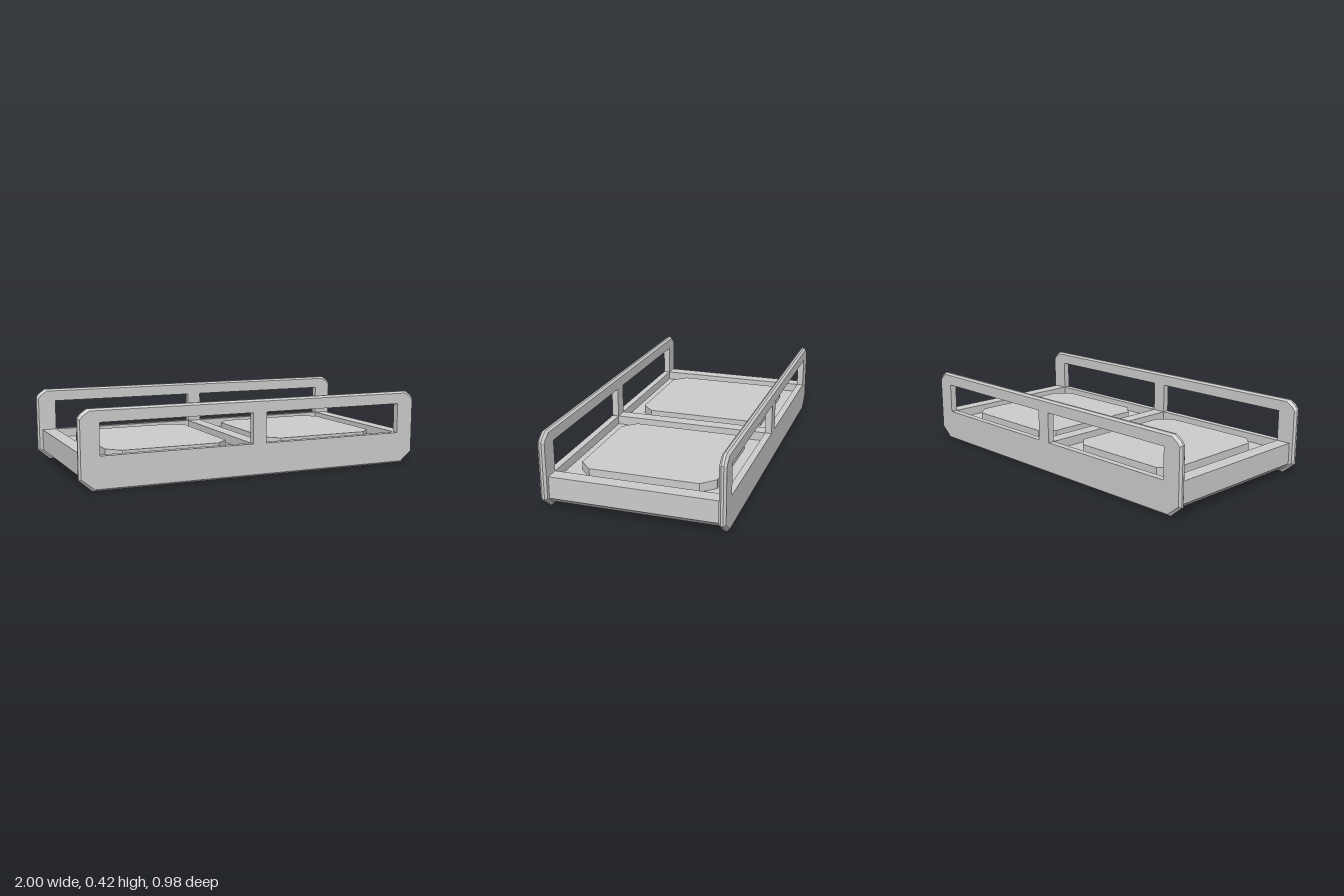
import * as THREE from 'three';

const material = new THREE.MeshStandardMaterial({ color: 0xcccccc, flatShading: true });
const toShape = (points) => new THREE.Shape(points.map(([x, y]) => new THREE.Vector2(x, y)));

function addMesh(group, name, geometry) {
  const mesh = new THREE.Mesh(geometry, material);
  mesh.name = name;
  group.add(mesh);
  return mesh;
}

// Side panel with two windows; only its outer rim is bevelled
function panelGeometry() {
  const half = [[0.93, 0], [1, 0.06], [1, 0.375], [0.985, 0.395], [0.95, 0.42]];
  const mirrored = half.map(([x, y]) => [-x, y]).reverse();
  const shape = toShape([...half, ...mirrored]);
  for (const s of [-1, 1]) {
    const window = [[0.04, 0.18], [0.04, 0.35], [0.89, 0.35], [0.89, 0.18]];
    shape.holes.push(new THREE.Path(window.map(([x, y]) => new THREE.Vector2(s * x, y))));
  }
  const depth = 0.038;
  const geometry = new THREE.ExtrudeGeometry(shape, { depth, steps: 3, bevelEnabled: false });
  geometry.translate(0, 0, -depth / 2);
  const p = geometry.attributes.position;
  for (let i = 0; i < p.count; i++) {
    const x = p.getX(i), y = p.getY(i);
    const outer = Math.abs(x) > 0.9 || y < 0.1 || y > 0.38;
    if (outer && Math.abs(p.getZ(i)) > depth * 0.4) {
      p.setXY(i, x * 0.99, 0.21 + (y - 0.21) * 0.95);
    }
  }
  geometry.computeVertexNormals();
  return geometry;
}

export function createModel() {
  const group = new THREE.Group();
  group.name = 'twoBayTray';

  // Tray base: end rims, centre divider and two recessed floors in one profile
  const floorY = 0.13, rimY = 0.18;
  const right = [[0.93, 0.025], [0.97, 0.06], [0.97, rimY], [0.89, rimY],
    [0.89, floorY], [0.04, floorY], [0.04, rimY]];
  const left = right.map(([x, y]) => [-x, y]).reverse();
  const base = new THREE.ExtrudeGeometry(toShape([...right, ...left]), { depth: 0.91, bevelEnabled: false });
  base.translate(0, 0, -0.455);
  addMesh(group, 'trayBase', base);

  // Raised pads with cut corners
  const w = 0.345, d = 0.372, c = 0.072;
  const outline = [[w, -d + c], [w, d - c], [w - c, d], [-w + c, d],
    [-w, d - c], [-w, -d + c], [-w + c, -d], [w - c, -d]];
  const pad = new THREE.ExtrudeGeometry(toShape(outline), { depth: 0.05, bevelEnabled: false });
  pad.rotateX(-Math.PI / 2);
  for (const s of [-1, 1]) {
    addMesh(group, s > 0 ? 'leftPad' : 'rightPad', pad).position.set(s * 0.464, 0.128, 0);
  }

  // Front and back railed panels
  const panel = panelGeometry();
  addMesh(group, 'frontPanel', panel).position.z = 0.472;
  addMesh(group, 'backPanel', panel).position.z = -0.472;
  return group;
}
